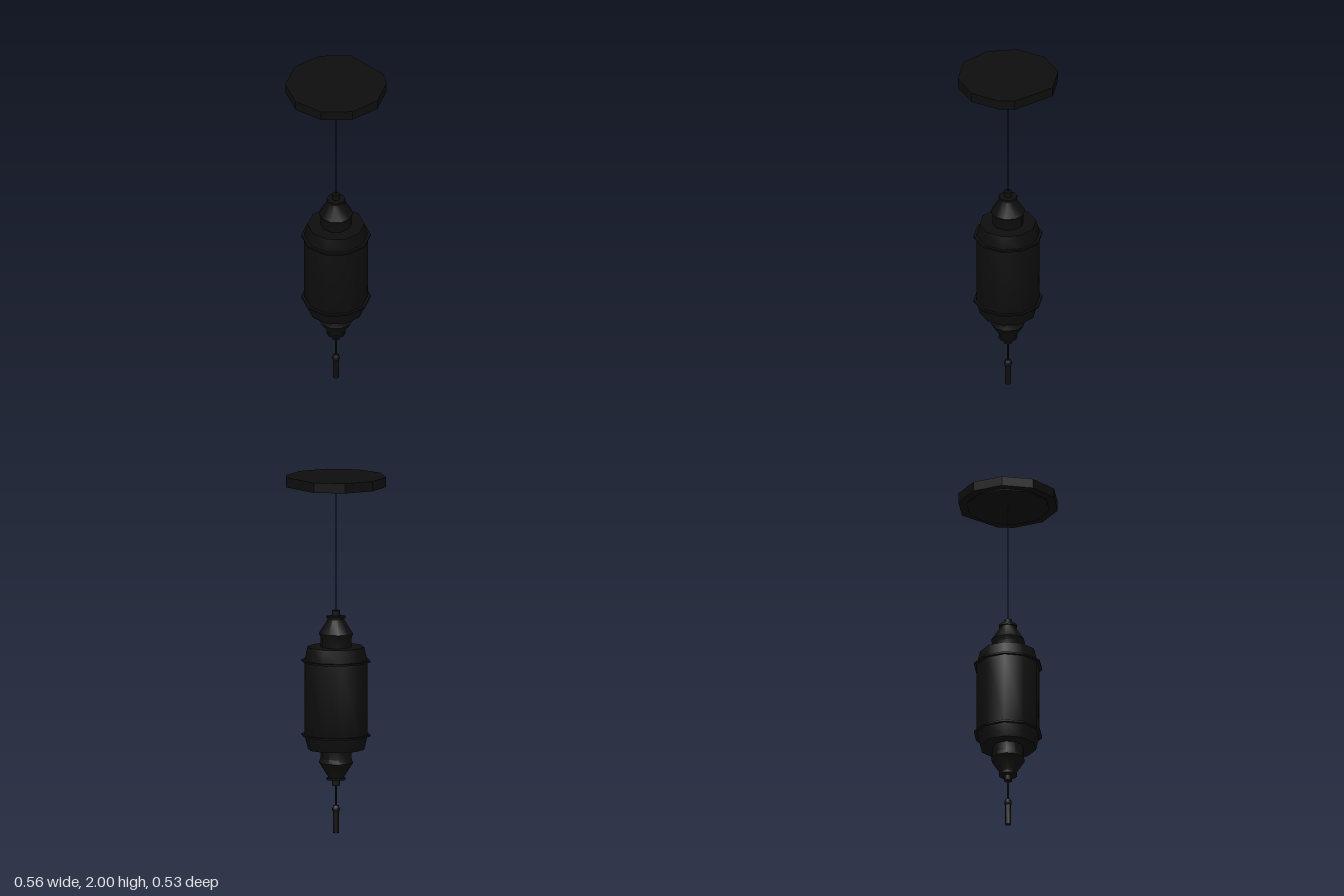
import * as THREE from 'three';
import { toCreasedNormals } from 'three/addons/utils/BufferGeometryUtils.js';

const SIDES = 10;

export function createModel() {
  const root = new THREE.Group();
  root.name = 'hangingLantern';
  const black = new THREE.MeshStandardMaterial({ color: 0x0d0d0d });

  const add = (name, geometry) => {
    const mesh = new THREE.Mesh(geometry, black);
    mesh.name = name;
    root.add(mesh);
    return mesh;
  };
  // Turned part: profile of [radius, height], with corners on the x axis
  const turned = (name, profile, sides = SIDES) => {
    const points = profile.map(([r, y]) => new THREE.Vector2(r, y));
    const geometry = new THREE.LatheGeometry(points, sides, Math.PI / 2);
    return add(name, toCreasedNormals(geometry, 0.7));
  };

  // Ceiling plate: a decagon with one corner pulled outward
  const R = 0.281;
  const corners = [];
  for (let i = 0; i < SIDES; i++) {
    const a = (i / SIDES) * Math.PI * 2;
    corners.push(new THREE.Vector2(R * Math.cos(a), R * Math.sin(a)));
  }
  corners[1].set(0.267, 0.087);
  const plate = new THREE.ExtrudeGeometry(new THREE.Shape(corners), { depth: 0.055, bevelEnabled: false });
  plate.rotateX(-Math.PI / 2);
  add('ceilingPlate', plate).position.y = 1.945;
  turned('ceilingPlateUnderside', [[0, 1.94], [0.235, 1.94], [0.235, 1.95]]);

  // Suspension cord
  turned('cord', [[0.004, 1.24], [0.004, 1.945]], 8);

  // Lantern drum with chamfered ends
  turned('drum', [
    [0, 0.47], [0.158, 0.47], [0.177, 0.55],
    [0.177, 0.966], [0.158, 1.045], [0, 1.045],
  ]);

  // Thin rims around the drum
  for (const [name, y] of [['lowerRim', 0.55], ['upperRim', 0.966]]) {
    turned(name, [[0.17, y - 0.005], [0.193, y - 0.005], [0.193, y + 0.005], [0.17, y + 0.005]]);
  }

  // Matching caps above and below, mirrored about the drum's middle
  const middle = 0.7575;
  const cap = [
    [0.087, 0.28], [0.087, 0.338], [0.096, 0.362], [0.046, 0.44],
    [0.046, 0.445], [0.052, 0.447], [0.052, 0.459], [0.023, 0.461],
    [0.023, 0.491], [0, 0.491],
  ];
  turned('upperCap', cap.map(([r, y]) => [r, middle + y]));
  turned('lowerCap', cap.map(([r, y]) => [r, middle - y]).reverse());

  // Tassel hanging from the lower cap
  turned('tasselCord', [[0.006, 0.13], [0.006, 0.28]], 8);
  turned('tasselBead', [[0, 0.11], [0.015, 0.115], [0.021, 0.126], [0.021, 0.14], [0.013, 0.155], [0, 0.16]]);
  turned('tassel', [[0, 0], [0.016, 0], [0.016, 0.118], [0, 0.118]]);

  return root;
}
